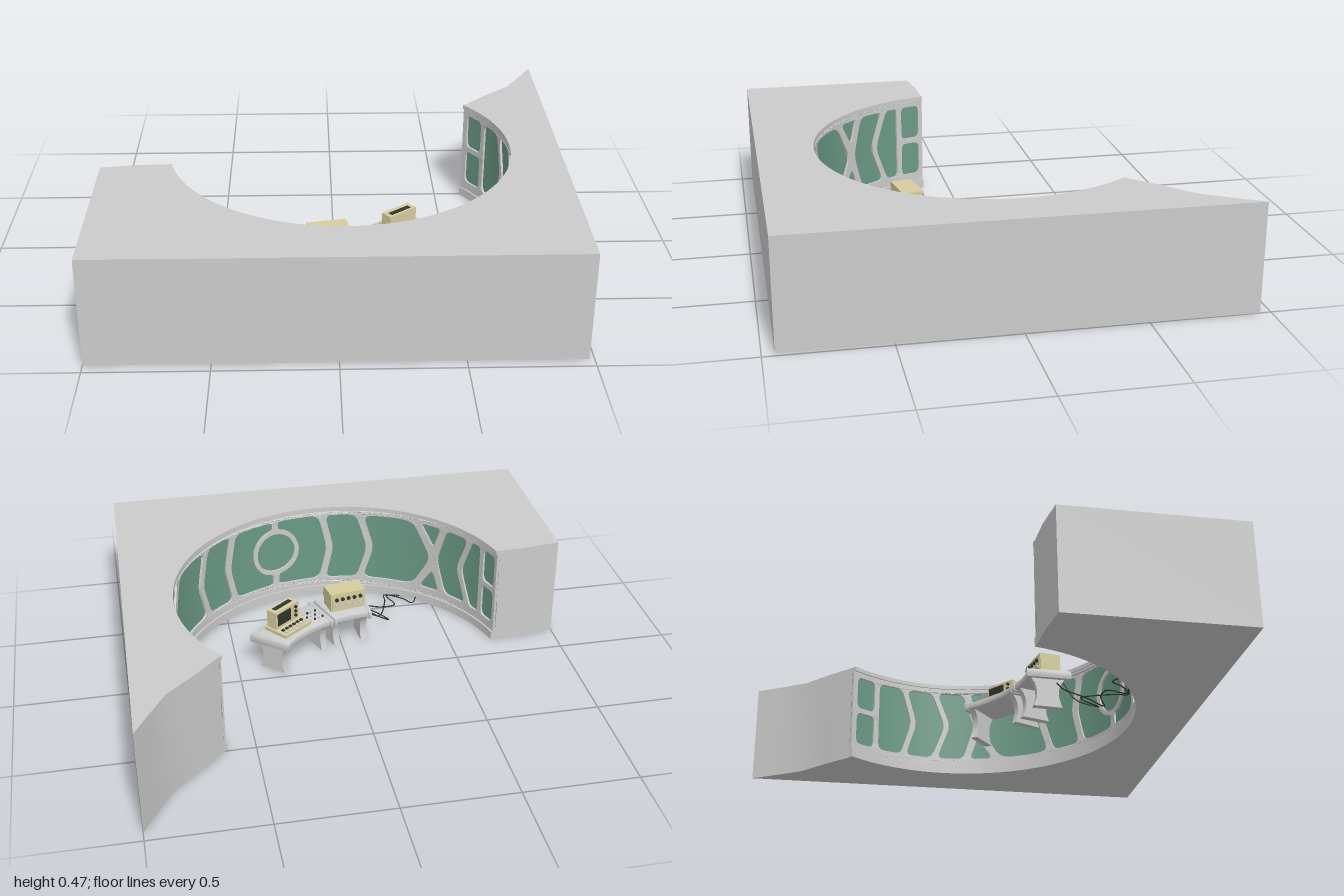
import * as THREE from 'three';
import { toCreasedNormals } from 'three/addons/utils/BufferGeometryUtils.js';

const H = 0.47, CX = 0.03, CZ = -0.04, R = 0.765;    // wall height, bay centre and radius
const A0 = -37.5, A1 = 167.5;                        // bay arc in degrees
const DX = -0.15, DZ = -0.35, DESK = 0.165;          // desk arc centre and desk height
const rad = THREE.MathUtils.degToRad;
const mat = (color) => new THREE.MeshStandardMaterial({ color, side: THREE.DoubleSide });
const GREY = mat(0xcccccc), GREEN = mat(0x6b9a85), CREAM = mat(0xd6cc9c), DARK = mat(0x30352f);

function add(parent, name, geo, material = GREY, x = 0, y = 0, z = 0) {
  const m = new THREE.Mesh(geo, material);
  m.name = name;
  m.position.set(x, y, z);
  parent.add(m);
  return m;
}

const polar = (cx, cz, r, a) => new THREE.Vector2(cx + r * Math.cos(rad(a)), cz + r * Math.sin(rad(a)));
function arc(cx, cz, r, a, b, n) {
  return Array.from({ length: n + 1 }, (_, i) => polar(cx, cz, r, a + (b - a) * i / n));
}

// plan outline (x, z) raised from y0 to y1
function raise(points, y0, y1, bevel = 0) {
  const g = new THREE.ExtrudeGeometry(new THREE.Shape(points), {
    depth: y1 - y0 - 2 * bevel, bevelEnabled: bevel > 0, bevelSize: bevel,
    bevelThickness: bevel, bevelOffset: -bevel, bevelSegments: 2 });
  g.rotateX(Math.PI / 2).translate(0, y1 - bevel, 0);
  return toCreasedNormals(g, 0.6);
}

// halve long edges so that a flat panel can be bent
function subdivide(geo, max) {
  const p = geo.index ? geo.toNonIndexed().attributes.position : geo.attributes.position;
  const v = (i) => new THREE.Vector3().fromBufferAttribute(p, i);
  const stack = [], out = [];
  for (let i = 0; i < p.count; i += 3) stack.push([v(i), v(i + 1), v(i + 2)]);
  while (stack.length) {
    const [a, b, c] = stack.pop();
    const ab = a.distanceTo(b), bc = b.distanceTo(c), ca = c.distanceTo(a);
    const long = Math.max(ab, bc, ca);
    if (long < max) { out.push(a, b, c); continue; }
    const [p0, p1, p2] = long === ab ? [a, b, c] : long === bc ? [b, c, a] : [c, a, b];
    const m = p0.clone().add(p1).multiplyScalar(0.5);
    stack.push([p0, m, p2], [m, p1, p2]);
  }
  return new THREE.BufferGeometry().setFromPoints(out);
}

// bend a flat panel (x = arc length, y = height, z = depth inwards) round the bay
function bend(geo) {
  const g = subdivide(geo, 0.07), p = g.attributes.position;
  for (let i = 0; i < p.count; i++) {
    const q = polar(CX, CZ, R - p.getZ(i), p.getX(i) / R * 180 / Math.PI);
    p.setXYZ(i, q.x, p.getY(i), q.y);
  }
  return toCreasedNormals(g, 0.6);
}

// closed path with rounded corners through [degrees, height] points
function rounded(pts, k = 0.22) {
  const v = pts.map(([a, y]) => new THREE.Vector2(rad(a) * R, y)), n = v.length;
  const path = new THREE.Path();
  v.forEach((c, i) => {
    const s = c.clone().lerp(v[(i + n - 1) % n], k), e = c.clone().lerp(v[(i + 1) % n], k);
    if (i) path.lineTo(s.x, s.y); else path.moveTo(s.x, s.y);
    path.quadraticCurveTo(c.x, c.y, e.x, e.y);
  });
  path.closePath();
  return path;
}

// window openings of the curved frame
function windows() {
  const B = 0.08, T = 0.425, M = 0.25, C = 74.2, cy = 0.26;
  const hex = (b0, m0, t0, b1, m1, t1) => [[b0, B], [b1, B], [m1, M], [t1, T], [t0, T], [m0, M]];
  const box = (a, b, y0, y1) => [[a, y0], [b, y0], [b, y1], [a, y1]];
  const ring = (r, from, to, n) => Array.from({ length: n + 1 }, (_, i) => {
    const t = rad(from + (to - from) * i / n);
    return [C + r * Math.cos(t) / R * 180 / Math.PI, cy + r * Math.sin(t)];
  });
  const mirrored = [
    hex(-2, 3, -2, 8, 12, 8),
    [[10.5, T], [19, T], [13.5, 0.31]],
    [[10.5, B], [19, B], [13.5, 0.19]],
    hex(22, 14.5, 22, 41, 37, 41),
    hex(43.5, 39.5, 43.5, 55, 52, 55),
    [[57.5, B], [73, B], ...ring(0.122, 262, 98, 10), [73, T], [57.5, T], [54.5, M]],
  ];
  return [
    box(-35.5, -27.5, B, 0.24), box(-35.5, -27.5, 0.265, T),
    hex(-25.5, -25.5, -25.5, -16, -12, -16),
    hex(-14, -10, -14, -4, 1, -4),
    ...mirrored, ...mirrored.map((c) => c.map(([a, y]) => [2 * C - a, y])),
    ring(0.1, 0, 345, 23),
    hex(152.5, 147.5, 152.5, 157, 157, 157),
    box(159, 166, B, 0.24), box(159, 166, 0.265, T),
  ].map((c) => rounded(c));
}

function strip(y0, y1, depth, holes = []) {
  const a = rad(A0) * R, b = rad(A1) * R;
  const s = new THREE.Shape([[a, y0], [b, y0], [b, y1], [a, y1]].map((p) => new THREE.Vector2(...p)));
  s.holes = holes;
  return bend(new THREE.ExtrudeGeometry(s, { depth, bevelEnabled: false, curveSegments: 4 }));
}

function buildWall(root) {
  const outline = [[-1, 0.95], [-1, 0.15], [-0.85, 0.13]].map((p) => new THREE.Vector2(...p));
  outline.push(...arc(CX, CZ, R, A1, A0, 48));
  outline.push(...[[0.74, -0.61], [0.86, -0.72], [0.94, -0.85], [1, -0.955], [0.98, 0.95]]
    .map((p) => new THREE.Vector2(...p)));
  add(root, 'wallBlock', raise(outline, 0, H));
  add(root, 'windowFrame', strip(0.03, 0.455, 0.014, windows()));
  add(root, 'windowGlass', strip(0.05, 0.44, 0.004), GREEN);
  add(root, 'topRim', strip(0.45, H, 0.02));
  add(root, 'bottomRim', strip(0, 0.04, 0.022));
}

// group on the desk whose +z faces the seat
function deskSpot(root, name, angle, radius, y) {
  const g = new THREE.Group(), p = polar(DX, DZ, radius, angle);
  g.name = name;
  g.position.set(p.x, y, p.y);
  g.rotation.y = Math.atan2(-Math.cos(rad(angle)), -Math.sin(rad(angle)));
  root.add(g);
  return g;
}

function buildDesk(root) {
  const sector = (a, b, r0, r1) => [...arc(DX, DZ, r0, a, b, 10), ...arc(DX, DZ, r1, b, a, 10)];
  for (const [a, b] of [[38.5, 69.2], [70, 89]]) {
    add(root, 'deskTop', raise(sector(a, b, 0.56, 0.74), DESK - 0.03, DESK, 0.006));
    for (const e of [a, b - 1.6])
      add(root, 'deskEndRim', raise(sector(e, e + 1.6, 0.553, 0.752), DESK - 0.036, DESK + 0.003, 0.004));
    // waisted legs near both ends
    for (const e of [a + 3, b - 3]) {
      const s = new THREE.Shape();
      s.moveTo(-0.085, 0.14);
      s.quadraticCurveTo(-0.025, 0.085, -0.065, 0);
      s.lineTo(0.065, 0);
      s.quadraticCurveTo(0.025, 0.085, 0.085, 0.14);
      const g = new THREE.ExtrudeGeometry(s, { depth: 0.03, bevelEnabled: false, curveSegments: 8 });
      g.translate(0, 0, -0.015).rotateY(Math.PI / 2);
      add(deskSpot(root, 'deskLeg', e, 0.65, 0), 'legPanel', toCreasedNormals(g, 0.6));
    }
  }
}

const knob = (r, h) => new THREE.CylinderGeometry(r, r, h, 10);

function buildEquipment(root) {
  // screen terminal
  const t = deskSpot(root, 'terminal', 51, 0.65, DESK);
  add(t, 'terminalBase', new THREE.BoxGeometry(0.17, 0.016, 0.13), CREAM, 0, 0.008, 0);
  add(t, 'monitorCase', new THREE.BoxGeometry(0.15, 0.085, 0.055), CREAM, 0, 0.058, -0.03);
  add(t, 'screen', new THREE.BoxGeometry(0.085, 0.06, 0.004), DARK, -0.022, 0.06, -0.002);
  add(t, 'topVent', new THREE.BoxGeometry(0.11, 0.003, 0.022), DARK, 0, 0.101, -0.035);
  for (let i = 0; i < 3; i++)
    add(t, 'sideKnob', knob(0.007, 0.012).rotateX(Math.PI / 2), DARK, 0.052, 0.038 + i * 0.022, 0);
  for (let i = 0; i < 6; i++) for (let j = 0; j < 2; j++)
    add(t, 'key', new THREE.BoxGeometry(0.014, 0.008, 0.012), j ? GREY : DARK, -0.06 + i * 0.024, 0.018, 0.025 + j * 0.022);

  // instrument cabinet
  const c = deskSpot(root, 'instrumentCabinet', 79.5, 0.66, DESK);
  add(c, 'cabinetCase', new THREE.BoxGeometry(0.17, 0.09, 0.095), CREAM, 0, 0.046, 0);
  add(c, 'cabinetPanel', new THREE.BoxGeometry(0.155, 0.074, 0.004), CREAM, 0, 0.046, 0.048);
  for (let i = 0; i < 5; i++) for (let j = 0; j < 2; j++)
    add(c, 'dial', knob(0.009, 0.01).rotateX(Math.PI / 2), j ? DARK : GREY, -0.058 + i * 0.029, 0.03 + j * 0.033, 0.052);

  // loose controls between them
  const k = deskSpot(root, 'deskControls', 64, 0.64, DESK);
  for (let i = 0; i < 4; i++) for (let j = 0; j < 3; j++)
    add(k, 'control', knob(0.005, 0.008), (i + j) % 2 ? DARK : GREY, -0.035 + i * 0.022, 0.003, -0.03 + j * 0.03);
}

function buildCables(root) {
  const runs = [
    [[-0.11, 0.12, 0.34], [-0.2, 0.05, 0.35], [-0.26, 0.01, 0.37], [-0.22, 0.005, 0.45], [-0.15, 0.005, 0.54],
      [-0.25, 0.005, 0.5], [-0.32, 0.005, 0.51], [-0.3, 0.005, 0.6], [-0.37, 0.005, 0.59], [-0.45, 0.02, 0.54]],
    [[-0.11, 0.12, 0.37], [-0.14, 0.03, 0.42], [-0.14, 0.005, 0.52], [-0.22, 0.005, 0.42], [-0.28, 0.005, 0.55],
      [-0.29, 0.005, 0.61], [-0.37, 0.005, 0.56], [-0.41, 0.005, 0.51], [-0.44, 0.02, 0.555]],
  ];
  for (const run of runs) {
    const curve = new THREE.CatmullRomCurve3(run.map((p) => new THREE.Vector3(...p)));
    add(root, 'cable', new THREE.TubeGeometry(curve, 80, 0.003, 6), DARK);
  }
}

export function createModel() {
  const root = new THREE.Group();
  root.name = 'controlRoom';
  buildWall(root);
  buildDesk(root);
  buildEquipment(root);
  buildCables(root);
  return root;
}
